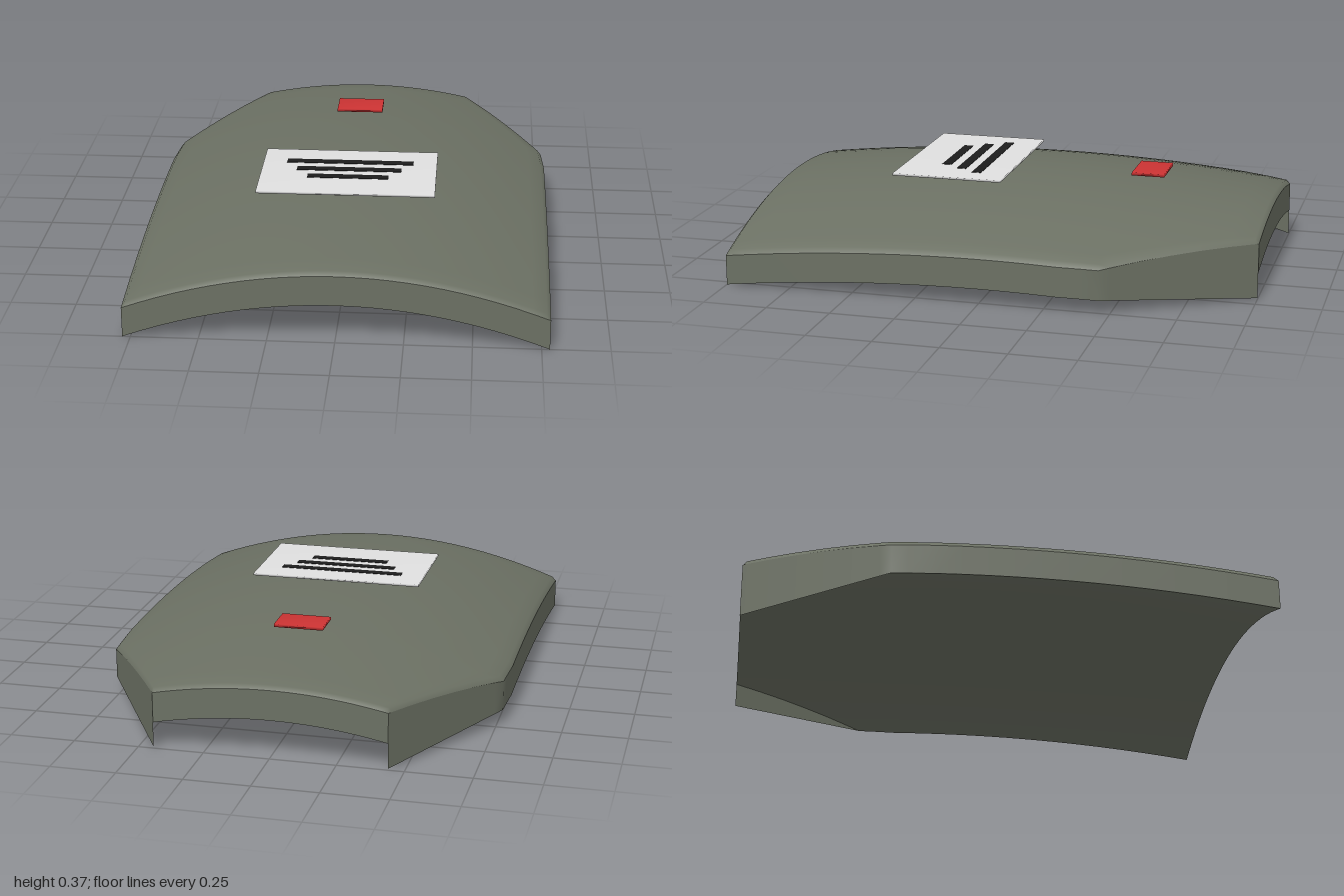
import * as THREE from 'three';
import { mergeVertices } from 'three/addons/utils/BufferGeometryUtils.js';

const THICK = 0.13;

// half width of the outline at depth z: straight sides, tapered back corners
function halfWidth(z) {
  if (z > -0.3) return 0.78;
  if (z > -0.46) return 0.77 + 0.01 * (z + 0.46) / 0.16;
  return 0.44 + 0.33 * (z + 1) / 0.54;
}

// double-curved dome
const dome = (x, z) => 0.353 - 0.065 * z * z - 0.15 * (x / 0.78) ** 2;

// top surface, with a slightly softened rim
function topY(u, z) {
  const rim = Math.abs(u) > 0.999 || Math.abs(z) > 0.999 ? 0.014 : 0;
  return dome(u * halfWidth(z), z) - rim;
}
const bottomY = (u, z) => dome(u * halfWidth(z), z) - THICK;

// lower edge of the side walls; hangs down as a skirt along the tapered corners
function skirtY(z) {
  const straight = bottomY(1, z);
  if (z > -0.46) return straight;
  const k = (z + 0.46) / -0.54;
  return THREE.MathUtils.lerp(bottomY(1, -0.46), 0.013, k);
}

// surface through a grid of points f(u, v)
function sheet(us, vs, f, flip = false) {
  const pos = [], index = [], n = vs.length;
  us.forEach(u => vs.forEach(v => pos.push(...f(u, v))));
  for (let i = 0; i < us.length - 1; i++) {
    for (let j = 0; j < n - 1; j++) {
      const a = i * n + j, b = a + 1, c = a + n, d = c + 1;
      if (flip) index.push(a, c, b, b, c, d);
      else index.push(a, b, c, b, d, c);
    }
  }
  const g = new THREE.BufferGeometry();
  g.setAttribute('position', new THREE.Float32BufferAttribute(pos, 3));
  g.setIndex(index);
  g.computeVertexNormals();
  return g;
}

// thin box with softly blended normals
function softBox(w, h, d) {
  const g = new THREE.BoxGeometry(w, h, d);
  g.deleteAttribute('normal');
  g.deleteAttribute('uv');
  const m = mergeVertices(g);
  m.computeVertexNormals();
  return m;
}

export function createModel() {
  const group = new THREE.Group();
  const mat = (name, color) => {
    const m = new THREE.MeshStandardMaterial({ color });
    m.name = name;
    return m;
  };
  const olive = mat('olive grey', 0x6b7063);
  olive.side = THREE.DoubleSide;
  const white = mat('label white', 0xe0e0e0);
  const red = mat('tag red', 0xcc3333);
  const black = mat('print black', 0x1c1c1c);

  const add = (name, geo, material, x = 0, y = 0, z = 0, parent = group) => {
    const mesh = new THREE.Mesh(geo, material);
    mesh.name = name;
    mesh.position.set(x, y, z);
    parent.add(mesh);
  };

  // grid lines across and along the plate, with close lines at the rim
  const us = [-1, -0.98], zs = [-1, -0.985];
  for (let i = -11; i <= 11; i++) us.push(i / 12);
  us.push(0.98, 1);
  for (let i = -9; i <= 9; i++) zs.push(i / 10);
  zs.push(-0.46, -0.985 * -1, 1);
  zs.sort((a, b) => a - b);
  const ts = [0, 1];
  const mix = THREE.MathUtils.lerp;

  // curved plate
  const plate = new THREE.Group();
  plate.name = 'curvedPlate';
  group.add(plate);
  const panel = (name, geo) => add(name, geo, olive, 0, 0, 0, plate);
  panel('outerFace', sheet(us, zs, (u, z) => [u * halfWidth(z), topY(u, z), z]));
  panel('innerFace', sheet(us, zs, (u, z) => [u * halfWidth(z), bottomY(u, z), z], true));
  for (const s of [1, -1]) {
    panel(s > 0 ? 'leftWall' : 'rightWall', sheet(ts, zs,
      (t, z) => [s * halfWidth(z), mix(topY(1, z), skirtY(z), t), z], s < 0));
    panel(s > 0 ? 'frontWall' : 'backWall', sheet(ts, us,
      (t, u) => [u * halfWidth(s), mix(topY(u, s), bottomY(u, s), t), s], s > 0));
  }

  // label with three printed bars
  add('label', softBox(0.686, 0.009, 0.44), white, 0, 0.3695, 0.25);
  [[0.5, 0.153], [0.41, 0.228], [0.316, 0.303]].forEach(([w, z], i) =>
    add('labelBar' + (i + 1), new THREE.BoxGeometry(w, 0.0099, 0.038), black, 0, 0.3705, z));

  // red tag
  add('redTag', softBox(0.19, 0.012, 0.13), red, 0, 0.369, -0.505);

  return group;
}
